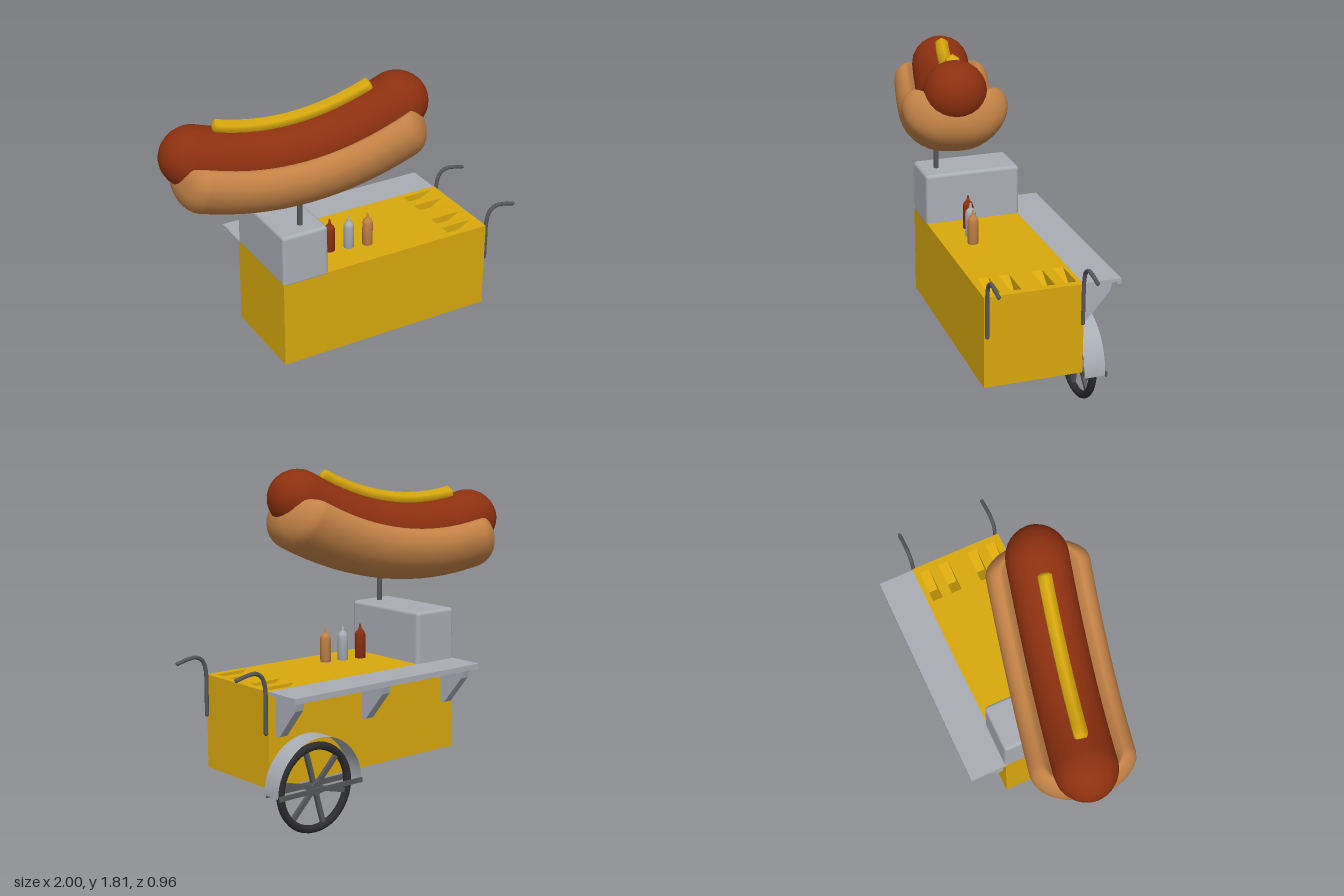
import * as THREE from 'three';
import { RoundedBoxGeometry } from 'three/addons/geometries/RoundedBoxGeometry.js';

const mat = (name, color, side = THREE.FrontSide) => {
  const m = new THREE.MeshStandardMaterial({ color, side });
  m.name = name;
  return m;
};

// Gently sagging centre line of the big hot dog, u runs along its length
const SLOPE = 0.8, AXIS = new THREE.Vector3(0.977, 0, 0.214);
const SIDE = new THREE.Vector3(-0.214, 0, 0.977);
const centre = u => new THREE.Vector3(-0.305 + 0.977 * u, 1.443 + 0.4 * (u + 0.18) ** 2, 0.095 + 0.214 * u);
const slopeAt = u => SLOPE * (u + 0.18);

// Lofts a closed section of [sideways, up] points along the centre line
function loft(section, stations, pivot = 0) {
  const pos = [], index = [], n = section.length;
  for (const [u, s] of stations) {
    const tangent = AXIS.clone().setY(slopeAt(u)).normalize();
    const up = SIDE.clone().cross(tangent);
    for (const [w, h] of section) {
      const p = centre(u).addScaledVector(SIDE, w * s).addScaledVector(up, pivot + (h - pivot) * s);
      pos.push(p.x, p.y, p.z);
    }
  }
  for (let i = 0; i < stations.length - 1; i++) {
    for (let j = 0; j < n; j++) {
      const a = i * n + j, b = i * n + (j + 1) % n, c = a + n, d = b + n;
      index.push(a, c, b, b, c, d);
    }
  }
  const g = new THREE.BufferGeometry();
  g.setAttribute('position', new THREE.Float32BufferAttribute(pos, 3));
  g.setIndex(index);
  g.computeVertexNormals();
  return g;
}

// Stations with rounded caps of the given length at both ends
function roundedStations(u0, u1, cap, steps = 16, capSteps = 8) {
  const list = [];
  const lo = cap / Math.hypot(1, slopeAt(u0)), hi = cap / Math.hypot(1, slopeAt(u1));
  for (let i = capSteps; i > 0; i--) {
    const t = (i / capSteps) * Math.PI / 2;
    list.push([u0 - lo * Math.sin(t), Math.cos(t)]);
  }
  for (let i = 0; i <= steps; i++) list.push([u0 + (u1 - u0) * i / steps, 1]);
  for (let i = 1; i <= capSteps; i++) {
    const t = (i / capSteps) * Math.PI / 2;
    list.push([u1 + hi * Math.sin(t), Math.cos(t)]);
  }
  return list;
}

const circle = (r, n, h = 0) => Array.from({ length: n }, (_, i) => {
  const a = i / n * Math.PI * 2 - Math.PI / 2;
  return [r * Math.cos(a), h + r * Math.sin(a)];
});

export function createModel() {
  const group = new THREE.Group();
  const yellow = mat('mustardYellow', 0xd8a80e);
  const steel = mat('lightSteel', 0xa9adb4);
  const sheet = mat('steelSheet', 0xa9adb4, THREE.DoubleSide);
  const metal = mat('darkMetal', 0x565759);
  const rubber = mat('rubber', 0x2c2c2e);
  const sausageRed = mat('sausageRed', 0x8c300f);
  const bread = mat('bread', 0xc28247);

  const add = (name, geometry, material, x = 0, y = 0, z = 0, parent = group) => {
    const m = new THREE.Mesh(geometry, material);
    m.name = name;
    m.position.set(x, y, z);
    parent.add(m);
    return m;
  };
  const box = (name, material, x0, x1, y0, y1, z0, z1) =>
    add(name, new THREE.BoxGeometry(x1 - x0, y1 - y0, z1 - z0), material, (x0 + x1) / 2, (y0 + y1) / 2, (z0 + z1) / 2);

  // Cart body in slices; every second slice has a sunken V-shaped well
  const body = new THREE.Group();
  body.name = 'cartBody';
  group.add(body);
  const cuts = [-0.285, -0.255, -0.197, -0.14, -0.08, 0.04, 0.097, 0.152, 0.21, 0.25];
  for (let i = 0; i < cuts.length - 1; i++) {
    const pts = [[-0.465, 0.265], [0.808, 0.265], [0.808, 0.768]];
    if (i % 2) pts.push([0.77, 0.768], [0.66, 0.71], [0.58, 0.768]);
    pts.push([-0.465, 0.768]);
    const shape = new THREE.Shape(pts.map(p => new THREE.Vector2(...p)));
    const g = new THREE.ExtrudeGeometry(shape, { depth: cuts[i + 1] - cuts[i], bevelEnabled: false });
    add(i % 2 ? 'wellSlice' : 'bodySlice', g, yellow, 0, 0, cuts[i], body);
  }

  // Raised cabinet and sign pole
  add('cabinet', new RoundedBoxGeometry(0.267, 0.3, 0.54, 3, 0.02), steel, -0.332, 0.9, -0.018);
  add('signPole', new THREE.CylinderGeometry(0.014, 0.014, 0.26, 12), metal, -0.318, 1.17, 0.16);

  // Rear shelf with a lip and three brackets
  box('shelf', steel, -0.465, 0.803, 0.75, 0.768, -0.488, -0.28);
  box('shelfLip', steel, -0.465, 0.803, 0.738, 0.766, -0.489, -0.465);
  const bracketShape = new THREE.Shape([[0.28, 0.752], [0.28, 0.535], [0.315, 0.535], [0.445, 0.69], [0.46, 0.752]]
    .map(p => new THREE.Vector2(...p)));
  for (const x of [-0.4, 0.17, 0.74]) {
    const g = new THREE.ExtrudeGeometry(bracketShape, { depth: 0.05, bevelEnabled: false });
    g.translate(0, 0, -0.025).rotateY(Math.PI / 2);
    add('shelfBracket', g, steel, x);
  }

  // Wheel with six spokes
  const wheel = new THREE.Group();
  wheel.name = 'wheel';
  wheel.position.set(0.573, 0.245, -0.352);
  group.add(wheel);
  add('tyre', new THREE.TorusGeometry(0.218, 0.021, 10, 40), rubber, 0, 0, 0, wheel);
  add('hub', new THREE.CylinderGeometry(0.035, 0.035, 0.05, 16).rotateX(Math.PI / 2), metal, 0, 0, 0, wheel);
  for (let i = 0; i < 6; i++) {
    const g = new THREE.BoxGeometry(0.024, 0.205, 0.02).translate(0, 0.105, 0).rotateZ(i * Math.PI / 3 - 0.27 + Math.PI);
    add('spoke', g, metal, 0, 0, 0, wheel);
  }
  add('axle', new THREE.CylinderGeometry(0.012, 0.012, 0.13, 10).rotateX(Math.PI / 2), metal, 0, 0, 0, wheel);

  // Open half-round fender and the bars that carry it
  const arch = new THREE.CylinderGeometry(0.272, 0.272, 0.115, 28, 1, true, Math.PI / 2, Math.PI).rotateX(Math.PI / 2);
  add('fender', arch, sheet, 0.57, 0.245, -0.342);
  box('innerAxleBar', metal, 0.3, 0.84, 0.232, 0.26, -0.306, -0.296);
  box('outerAxleBar', metal, 0.3, 0.84, 0.235, 0.26, -0.412, -0.403);

  // Curved push handles
  const bend = new THREE.CatmullRomCurve3([[0.82, 0.555], [0.82, 0.68], [0.822, 0.79], [0.84, 0.845], [0.88, 0.87],
    [0.93, 0.867], [0.995, 0.852]].map(([x, y]) => new THREE.Vector3(x, y, 0)));
  for (const z of [-0.276, 0.236]) {
    const handle = add('pushHandle', new THREE.TubeGeometry(bend, 28, 0.011, 8), metal, 0, 0, z);
    for (const t of [0, 1]) {
      const end = bend.getPoint(t);
      add('handleEnd', new THREE.SphereGeometry(0.011, 8, 6), metal, end.x, end.y, 0, handle);
    }
  }

  // Sauce bottles
  const bottleProfile = [[0, 0], [0.029, 0], [0.029, 0.13], [0.024, 0.146], [0.011, 0.16], [0.008, 0.163], [0.005, 0.188], [0, 0.188]]
    .map(p => new THREE.Vector2(...p));
  [[-0.08, 0.05, sausageRed], [0.028, 0.07, steel], [0.134, 0.09, bread]].forEach(([x, z, m]) =>
    add('sauceBottle', new THREE.LatheGeometry(bottleProfile, 16), m, x, 0.768, z));

  // Giant hot dog: bun with two lobes, sausage and mustard
  const half = [[0.13, -0.25], [0.23, -0.175], [0.27, -0.075], [0.252, 0], [0.205, 0.03], [0.16, -0.02], [0.1, -0.11]];
  const outline = [[0, -0.27], ...half, [0, -0.145], ...half.map(([w, h]) => [-w, h]).reverse()];
  const curve = new THREE.CatmullRomCurve3(outline.map(([w, h]) => new THREE.Vector3(w, h, 0)), true);
  const bunSection = curve.getPoints(48).slice(0, 48).map(p => [p.x, p.y]);
  const sign = new THREE.Group();
  sign.name = 'hotDogSign';
  group.add(sign);
  add('bun', loft(bunSection, roundedStations(-0.48, 0.49, 0.13), -0.1), bread, 0, 0, 0, sign);
  add('sausage', loft(circle(0.163, 24), roundedStations(-0.537, 0.54, 0.163)), sausageRed, 0, 0, 0, sign);
  add('mustard', loft(circle(0.04, 6, 0.175), roundedStations(-0.45, 0.47, 0.015, 16, 2), 0.175), yellow, 0, 0, 0, sign);

  return group;
}
